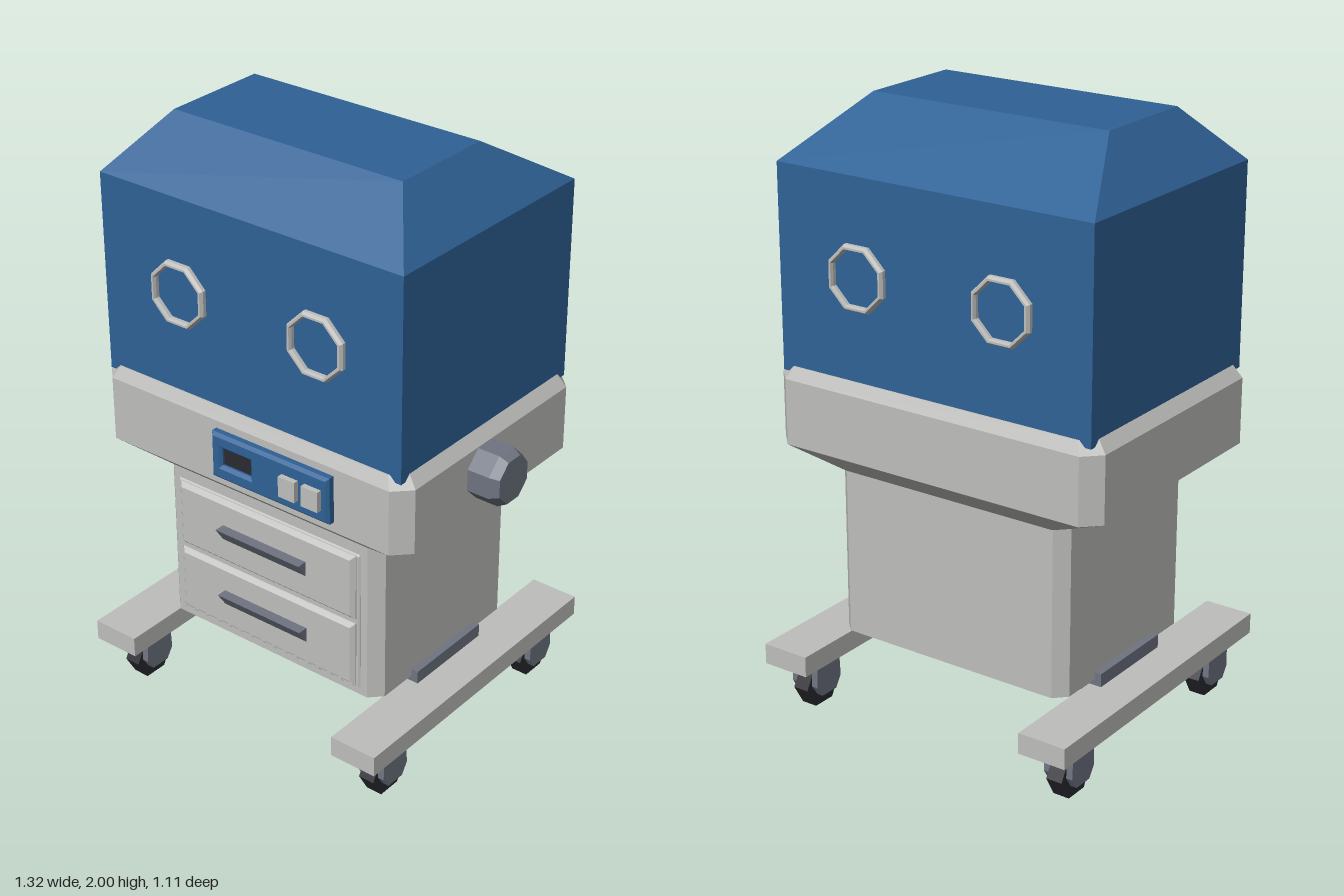
import * as THREE from 'three';

const paint = (name, color) => {
  const m = new THREE.MeshStandardMaterial({ color, flatShading: true });
  m.name = name;
  return m;
};

// Stacks rectangles with cut corners: each level is [y, halfX, halfZ, cut, centreZ]
function loft(levels) {
  const rings = levels.map(([y, w, d, c = 0, cz = 0]) => {
    const flat = c > 0
      ? [[w, d - c], [w, c - d], [w - c, -d], [c - w, -d], [-w, c - d], [-w, d - c], [c - w, d], [w - c, d]]
      : [[w, d], [w, -d], [-w, -d], [-w, d]];
    return flat.map(([x, z]) => [x, y, z + cz]);
  });
  const pos = [], n = rings[0].length;
  const tri = (a, b, c) => pos.push(...a, ...b, ...c);
  for (let k = 0; k + 1 < rings.length; k++) {
    for (let i = 0; i < n; i++) {
      const j = (i + 1) % n, a = rings[k], b = rings[k + 1];
      tri(a[i], a[j], b[j]);
      tri(a[i], b[j], b[i]);
    }
  }
  const low = rings[0], top = rings[rings.length - 1];
  for (let i = 1; i < n - 1; i++) {
    tri(low[0], low[i + 1], low[i]);
    tri(top[0], top[i], top[i + 1]);
  }
  const g = new THREE.BufferGeometry();
  g.setAttribute('position', new THREE.Float32BufferAttribute(pos, 3));
  g.computeVertexNormals();
  return g;
}

// Bevelled plate facing +z, with its back at z = 0
const plate = (w, h, depth, bevel) =>
  loft([[0, w / 2, h / 2], [depth - bevel, w / 2, h / 2], [depth, w / 2 - bevel, h / 2 - bevel]]).rotateX(Math.PI / 2);

// Outline in (z, y) extruded along x, centred on x = 0
function prismX(points, width) {
  const s = new THREE.Shape(points.map(([z, y]) => new THREE.Vector2(-z, y)));
  return new THREE.ExtrudeGeometry(s, { depth: width, bevelEnabled: false })
    .translate(0, 0, -width / 2).rotateY(Math.PI / 2);
}

export function createModel() {
  const blue = paint('blue', 0x2f6296);
  const grey = paint('light grey', 0xbebebc);
  const slate = paint('slate', 0x6e7481);
  const dark = paint('dark', 0x2a2b31);
  const root = new THREE.Group();
  const add = (name, geo, mat, x = 0, y = 0, z = 0, parent = root) => {
    const m = new THREE.Mesh(geo, mat);
    m.name = name;
    m.position.set(x, y, z);
    parent.add(m);
    return m;
  };
  const CX = -0.055; // centre line of the body

  // Hood with a sloped roof
  add('hood', loft([[1.15, 0.575, 0.4225], [1.82, 0.575, 0.4225], [2, 0.43, 0.185, 0, 0.055]]), blue, CX);

  // Octagonal hand port rings, front and back
  const ringProfile = [[0.112, 0], [0.112, 0.012], [0.105, 0.022], [0.098, 0.022], [0.094, 0.012], [0.094, 0]]
    .map(p => new THREE.Vector2(...p));
  for (const side of [1, -1]) {
    for (const x of [-0.32, 0.212]) {
      const g = new THREE.LatheGeometry(ringProfile, 8, Math.PI / 8).rotateX(side * Math.PI / 2);
      add('handPortRing', g, grey, x, 1.505, side * 0.4225);
    }
  }

  // Tray under the hood and cabinet below it
  add('tray', loft([
    [0.825, 0.435, 0.35, 0.04], [0.91, 0.605, 0.447, 0.055],
    [1.13, 0.605, 0.447, 0.055], [1.17, 0.575, 0.427, 0.045],
  ]), grey, CX);
  add('cabinet', loft([[0.26, 0.435, 0.347, 0.04], [0.83, 0.435, 0.347, 0.04]]), grey, CX);

  // Drawers with wedge handles
  add('drawerSurround', plate(0.74, 0.5, 0.008, 0.006), grey, CX, 0.535, 0.346);
  for (const y of [0.665, 0.415]) {
    add('drawer', plate(0.715, 0.232, 0.024, 0.014), grey, CX, y, 0.347);
    const wedge = [[0.365, 0.026], [0.407, 0.026], [0.372, -0.026], [0.365, -0.026]];
    add('drawerHandle', prismX(wedge, 0.34), slate, CX, y, 0);
  }

  // Control panel with a sunken screen and two buttons
  const panel = new THREE.Group();
  panel.name = 'controlPanel';
  panel.position.set(0.06, 1.025, 0.445);
  root.add(panel);
  const rect = (Type, x0, x1, y0, y1) =>
    new Type([[x0, y0], [x1, y0], [x1, y1], [x0, y1]].map(p => new THREE.Vector2(...p)));
  const face = rect(THREE.Shape, -0.22, 0.22, -0.07, 0.07);
  face.holes.push(rect(THREE.Path, -0.2, -0.065, -0.04, 0.04));
  add('panelBody', new THREE.ExtrudeGeometry(face, {
    depth: 0.02, bevelThickness: 0.01, bevelSize: 0.01, bevelSegments: 1,
  }), blue, 0, 0, 0.001, panel);
  add('screen', new THREE.BoxGeometry(0.135, 0.08, 0.008), dark, -0.1325, 0, 0.01, panel);
  for (const x of [0.085, 0.173]) {
    add('button', new THREE.BoxGeometry(0.063, 0.07, 0.025), grey, x, 0, 0.037, panel);
  }

  // Octagonal side knob
  const knob = new THREE.LatheGeometry(
    [[0, 0], [0.095, 0], [0.095, 0.08], [0.078, 0.11], [0, 0.11]].map(p => new THREE.Vector2(...p)), 8, Math.PI / 8);
  add('sideKnob', knob.rotateZ(-Math.PI / 2), slate, 0.547, 1.04, 0.045);

  // Cross beam and the two floor legs
  add('crossBeam', new THREE.BoxGeometry(0.92, 0.075, 0.335), slate, CX, 0.2475, 0);
  for (const side of [1, -1]) {
    const x = CX + side * 0.5;
    add('leg', new THREE.BoxGeometry(0.168, 0.07, 1.106), grey, x, 0.205, 0);

    // Casters at both ends of each leg
    for (const end of [1, -1]) {
      const caster = new THREE.Group();
      caster.name = 'caster';
      caster.position.set(x, 0, end * 0.402);
      root.add(caster);
      const cheek = [[-0.055, 0.172], [-0.06, 0.08], [-0.035, 0.042], [0.035, 0.042], [0.06, 0.08], [0.055, 0.172]];
      for (const s of [1, -1]) add('casterFork', prismX(cheek, 0.022), slate, s * 0.041, 0, 0, caster);
      add('casterCrown', new THREE.BoxGeometry(0.08, 0.022, 0.11), slate, 0, 0.16, 0, caster);
      const wheel = new THREE.CylinderGeometry(0.082, 0.082, 0.056, 6).rotateZ(Math.PI / 2);
      add('wheel', wheel, dark, 0, 0.071, 0, caster);
    }
  }
  return root;
}
